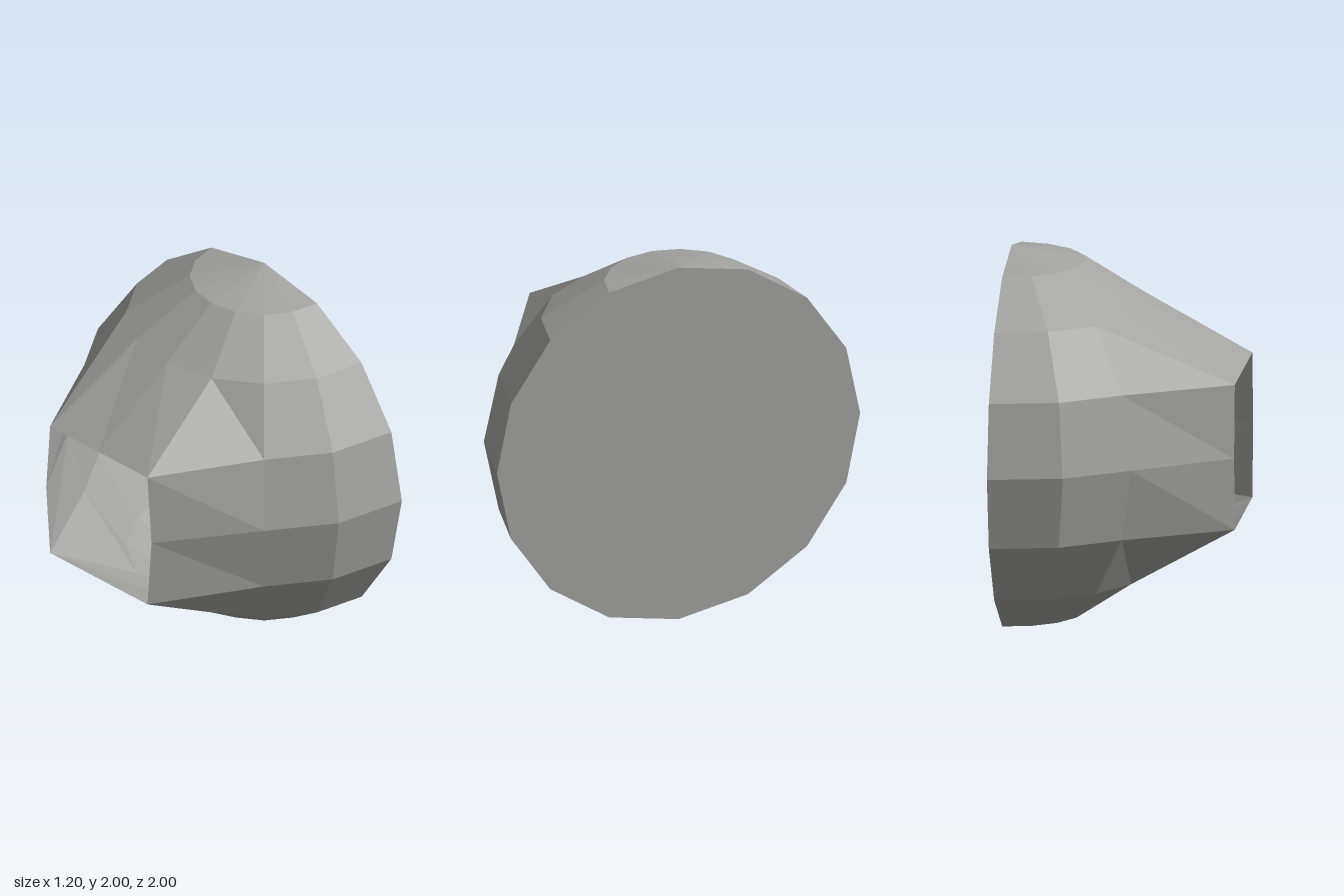
import * as THREE from 'three';

const SEGMENTS = 8;      // columns over the half turn, rows pole to pole
const MOUTH_X = -0.6;    // plane of the open spout
const RIM_X = 0.6;       // plane of the flat disc

export function createModel() {
  const group = new THREE.Group();
  group.name = 'spoutedHalfDome';
  const grey = new THREE.MeshStandardMaterial({
    name: 'warmGrey', color: 0xa3a3a1, flatShading: true, side: THREE.DoubleSide,
  });

  // Half sphere bulging towards -x
  const dome = new THREE.SphereGeometry(1, SEGMENTS, SEGMENTS, -Math.PI / 2, Math.PI);
  dome.translate(RIM_X, 1, 0);

  // Pull the middle 3 x 3 vertices out to a flat mouth
  const pos = dome.attributes.position;
  const row = SEGMENTS + 1;
  const inMiddle = (i) => {
    const col = i % row, line = Math.floor(i / row);
    return Math.abs(col - 4) <= 1 && Math.abs(line - 4) <= 1;
  };
  for (let i = 0; i < pos.count; i++) if (inMiddle(i)) pos.setX(i, MOUTH_X);

  // Leave out the faces that would close the mouth
  const kept = [];
  const index = dome.index.array;
  for (let i = 0; i < index.length; i += 3) {
    const tri = [index[i], index[i + 1], index[i + 2]];
    if (!tri.every(inMiddle)) kept.push(...tri);
  }
  dome.setIndex(kept);
  const shellGeometry = dome.toNonIndexed();
  shellGeometry.computeVertexNormals();
  const shell = new THREE.Mesh(shellGeometry, grey);
  shell.name = 'shell';
  group.add(shell);

  // Flat sixteen-sided disc closing the wide end
  const disc = new THREE.Mesh(new THREE.CircleGeometry(1, SEGMENTS * 2), grey);
  disc.name = 'endDisc';
  disc.rotation.y = Math.PI / 2;
  disc.position.set(RIM_X, 1, 0);
  group.add(disc);

  return group;
}
